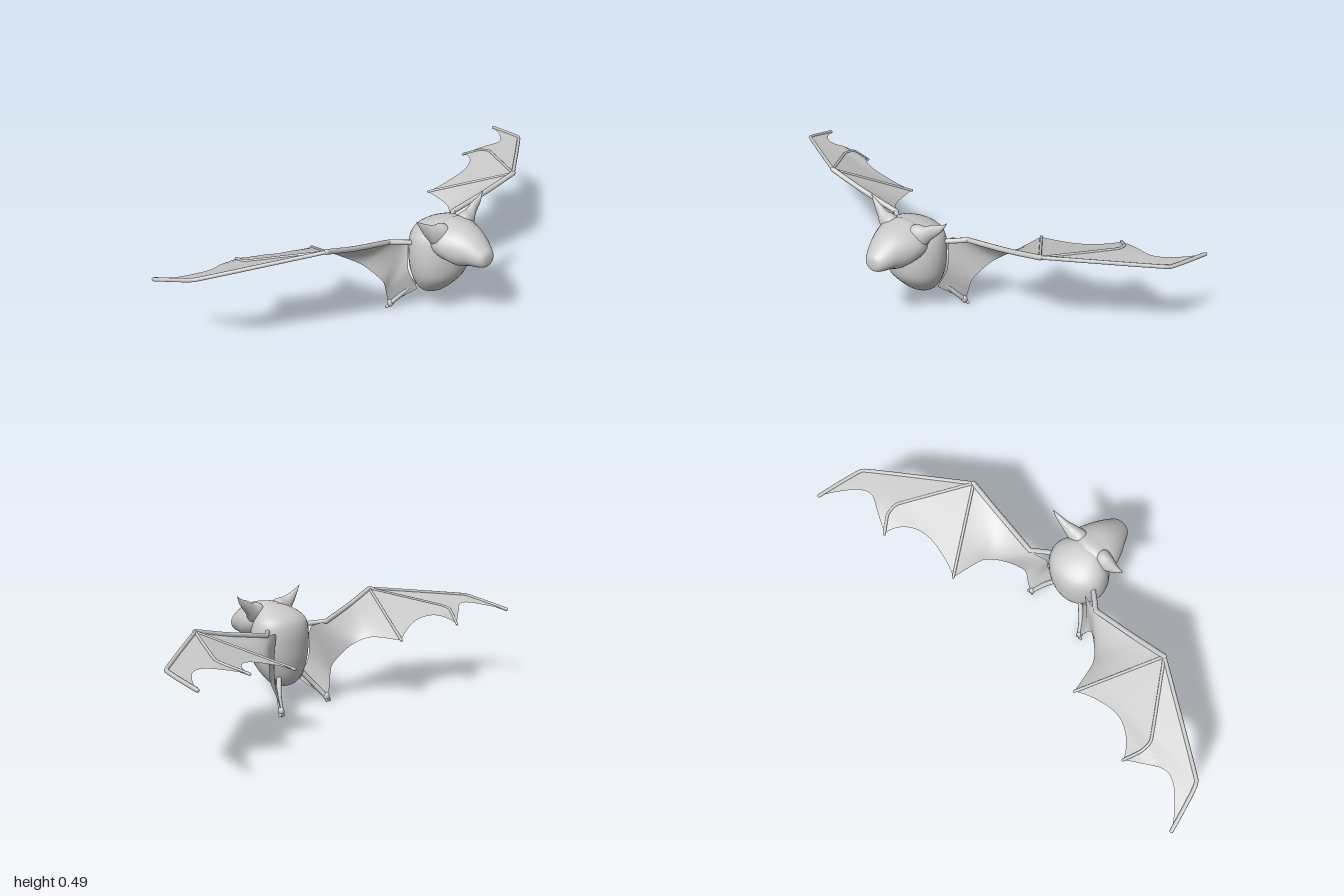
import * as THREE from 'three';

const skin = new THREE.MeshStandardMaterial({ color: 0xcccccc });
const thin = new THREE.MeshStandardMaterial({ color: 0xcccccc, side: THREE.DoubleSide });
const V = (p) => new THREE.Vector3(...p);
const spline = (pts, tension = 0.5) => new THREE.CatmullRomCurve3(pts.map(V), false, 'catmullrom', tension);

function mesh(name, geometry, material = skin) {
  const m = new THREE.Mesh(geometry, material);
  m.name = name;
  return m;
}

function gridGeometry(positions, indices) {
  const g = new THREE.BufferGeometry();
  g.setAttribute('position', new THREE.Float32BufferAttribute(positions, 3));
  g.setIndex(indices);
  g.computeVertexNormals();
  return g;
}

// Closed smooth loft of ellipses along an axis (0 = x, 1 = y, 2 = z).
// Station: [position on axis, centre u, centre v, radius u, radius v]; u, v are the next axes in order.
function loft(axis, stations, mirror = false, rings = 32, sides = 28) {
  const centres = spline(stations.map((s) => [s[0], s[1], s[2]]));
  const radii = spline(stations.map((s) => [s[3], s[4], 0]));
  const pos = [], idx = [];
  for (let i = 0; i <= rings; i++) {
    const c = centres.getPoint(i / rings), r = radii.getPoint(i / rings);
    for (let j = 0; j < sides; j++) {
      const a = (j / sides) * Math.PI * 2, p = [0, 0, 0];
      p[axis] = c.x;
      p[(axis + 1) % 3] = c.y + Math.max(r.x, 0) * Math.cos(a);
      p[(axis + 2) % 3] = c.z + Math.max(r.y, 0) * Math.sin(a);
      if (mirror) p[0] *= -1;
      pos.push(...p);
      if (i === rings) continue;
      const k = (j + 1) % sides, A = i * sides + j, B = i * sides + k, C = B + sides, D = A + sides;
      if (mirror) idx.push(A, C, B, A, D, C);
      else idx.push(A, B, C, A, C, D);
    }
  }
  return gridGeometry(pos, idx);
}

// Open surface from a point function f(u, v)
function sheet(f, nu = 16, nv = 16) {
  const pos = [], idx = [];
  for (let i = 0; i <= nu; i++) for (let j = 0; j <= nv; j++) {
    pos.push(...f(i / nu, j / nv).toArray());
    if (i < nu && j < nv) {
      const a = i * (nv + 1) + j, b = a + nv + 1;
      idx.push(a, a + 1, b + 1, a, b + 1, b);
    }
  }
  return gridGeometry(pos, idx);
}

// Round bone with ball ends
function bone(name, curve, radius, steps = 20) {
  const g = new THREE.Group();
  g.name = name;
  g.add(mesh(name + 'Shaft', new THREE.TubeGeometry(curve, steps, radius, 8)));
  for (const t of [0, 1]) {
    const ball = mesh(name + 'Joint', new THREE.SphereGeometry(radius, 8, 6));
    ball.position.copy(curve.getPoint(t));
    g.add(ball);
  }
  return g;
}

function wing(name, side, k) {
  const g = new THREE.Group();
  g.name = name;
  const m = (pts, tension) => spline(pts.map(([x, y, z]) => [x * side, y, z]), tension);
  const { wrist, bend, tip, mid, tip2, tip3 } = k;
  const elbow = [0.19, 0.345, 0.05];
  const forearm = [wrist.map((w, i) => w * 0.55 + elbow[i] * 0.45 + (i === 1 ? -0.005 : 0))];

  // Arm and finger bones
  const finger1 = m([wrist, bend, tip], 0.08);
  const finger2 = m([wrist, mid, [mid[0], mid[1] - 0.012, mid[2] - 0.06], tip2], 0.15);
  const finger3 = m([wrist, tip3], 0);
  g.add(bone('upperArm', m([[0.08, 0.335, 0.14], elbow], 0), 0.011));
  g.add(bone('forearm', m([elbow, ...forearm, wrist]), 0.011));
  g.add(bone('outerFinger', finger1, 0.008, 40));
  g.add(bone('middleFinger', finger2, 0.006, 40));
  g.add(bone('innerFinger', finger3, 0.006));

  // Scalloped skin between neighbouring fingers
  const panel = (a, b) => sheet((u, v) => {
    const s = u * (1 - 0.22 * Math.pow(Math.sin(Math.PI * v), 0.8));
    return a.getPointAt(s).lerp(b.getPointAt(s), v);
  }, 20, 20);
  g.add(mesh('outerMembrane', panel(finger1, finger2), thin));
  g.add(mesh('middleMembrane', panel(finger2, finger3), thin));

  // Skin from the arm and flank to the foot
  const lead = m([wrist, ...forearm, elbow, [0.11, 0.33, 0.07], [0.115, 0.2, 0.085], [0.075, 0.1, 0.1]], 0.3);
  const trail = m([tip3, [0.32, 0.275, -0.1], [0.26, 0.235, -0.03], [0.2, 0.155, 0.02],
    [0.17, 0.08, 0.01], [0.15, 0.015, 0.002]], 0.4);
  g.add(mesh('innerMembrane', sheet((u, v) => lead.getPoint(u).lerp(trail.getPoint(u), v), 30, 12), thin));
  return g;
}

function leg(name, side) {
  const g = new THREE.Group();
  g.name = name;
  const m = (pts) => spline(pts.map(([x, y, z]) => [x * side, y, z]));
  g.add(bone('shin', m([[0.07, 0.14, 0.09], [0.115, 0.075, 0.05], [0.145, 0.025, 0.012]]), 0.011));
  // Foot with three short toes
  const foot = mesh('foot', new THREE.SphereGeometry(0.014, 12, 8));
  foot.scale.set(1, 1.3, 1);
  foot.position.set(0.147 * side, 0.024, 0.01);
  g.add(foot);
  for (const t of [-1, 0, 1])
    g.add(bone('toe', m([[0.147, 0.022, 0.01], [0.152 + t * 0.011, 0.007, 0.003]]), 0.006, 4));
  return g;
}

export function createModel() {
  const bat = new THREE.Group();
  bat.name = 'bat';

  // Plump body, stacked along y: [y, centre z, centre x, half depth, half width]
  bat.add(mesh('body', loft(1, [
    [0.087, 0.125, 0, 0, 0], [0.092, 0.125, 0, 0.035, 0.05], [0.125, 0.13, 0, 0.07, 0.09],
    [0.19, 0.147, 0, 0.105, 0.125], [0.26, 0.15, 0, 0.115, 0.137], [0.33, 0.148, 0, 0.112, 0.135],
    [0.38, 0.15, 0, 0.095, 0.12], [0.415, 0.17, 0, 0.06, 0.08], [0.432, 0.19, 0, 0.025, 0.035], [0.434, 0.19, 0, 0, 0],
  ])));

  // Tapered head, stacked along z: [z, centre x, centre y, half width, half height]
  bat.add(mesh('head', loft(2, [
    [0.14, 0, 0.37, 0, 0], [0.16, 0, 0.37, 0.07, 0.045], [0.205, 0, 0.365, 0.11, 0.076],
    [0.25, 0, 0.358, 0.112, 0.081], [0.3, 0, 0.349, 0.095, 0.081], [0.345, 0, 0.346, 0.073, 0.063],
    [0.385, 0, 0.335, 0.052, 0.045], [0.408, 0, 0.33, 0.032, 0.028], [0.413, 0, 0.33, 0, 0],
  ])));

  // Curved pointed ears: [x, centre y, centre z, half height, half depth]
  const ear = (tip) => [
    [0.02, 0.385, 0.22, 0, 0], [0.05, 0.393, 0.22, 0.046, 0.035], [0.1, 0.403, 0.215, 0.044, 0.029],
    [0.135, 0.431, 0.207, 0.031, 0.018], [tip - 0.025, 0.461, 0.203, 0.015, 0.009], [tip, 0.492, 0.2, 0, 0],
  ];
  bat.add(mesh('leftEar', loft(0, ear(0.203))));
  bat.add(mesh('rightEar', loft(0, ear(0.188), true)));

  // Wings are posed slightly differently on each side
  bat.add(wing('leftWing', 1, {
    wrist: [0.55, 0.415, 0.08], bend: [0.94, 0.39, -0.2], tip: [0.992, 0.37, -0.404],
    mid: [0.72, 0.385, -0.2], tip2: [0.675, 0.345, -0.325], tip3: [0.35, 0.285, -0.245],
  }));
  bat.add(wing('rightWing', -1, {
    wrist: [0.53, 0.445, 0.072], bend: [0.94, 0.39, -0.19], tip: [0.995, 0.336, -0.383],
    mid: [0.71, 0.375, -0.19], tip2: [0.68, 0.305, -0.31], tip3: [0.35, 0.275, -0.24],
  }));
  bat.add(leg('leftLeg', 1), leg('rightLeg', -1));
  return bat;
}
